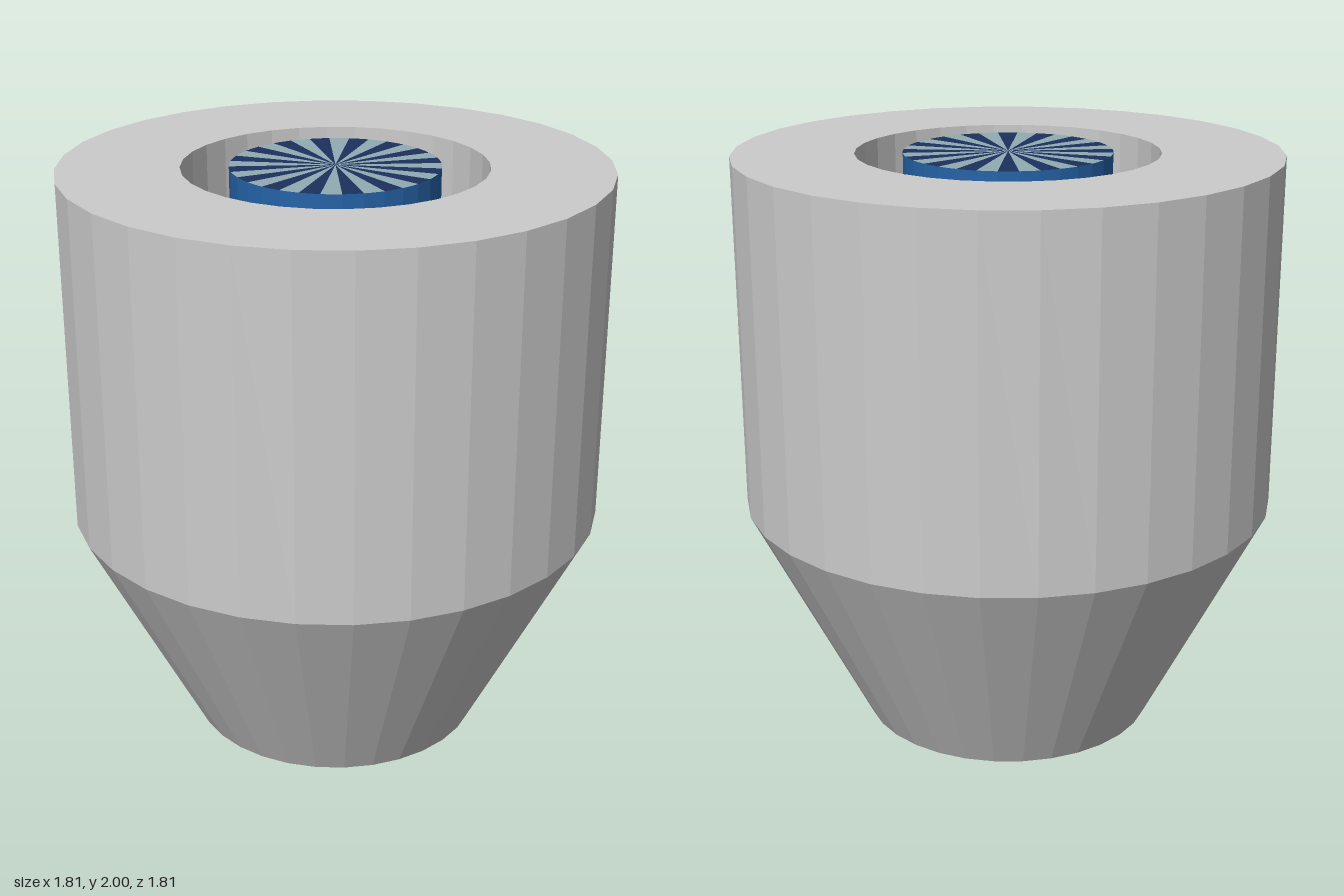
import * as THREE from 'three';
import { mergeGeometries } from 'three/addons/utils/BufferGeometryUtils.js';

const SIDES = 32;
const HEIGHT = 2;
const CORE_RADIUS = 0.345;

const material = (color) => new THREE.MeshStandardMaterial({ color, flatShading: true });

function addMesh(parent, name, geometry, color) {
  const mesh = new THREE.Mesh(geometry, material(color));
  mesh.name = name;
  parent.add(mesh);
}

// Turns a list of [radius, height] pairs around the y axis
function turned(profile) {
  return new THREE.LatheGeometry(profile.map(([r, y]) => new THREE.Vector2(r, y)), SIDES);
}

// Every second wedge of the core's top disc
function wedges(first) {
  const step = (Math.PI * 2) / SIDES;
  const parts = [];
  for (let i = first; i < SIDES; i += 2) {
    parts.push(new THREE.CircleGeometry(CORE_RADIUS, 1, i * step, step));
  }
  return mergeGeometries(parts).rotateX(-Math.PI / 2).translate(0, HEIGHT, 0);
}

export function createModel() {
  const model = new THREE.Group();
  model.name = 'taperedSleeveWithCore';

  // Sleeve: cone below, straight wall above, straight bore through it
  const bore = 0.503, outer = 0.905, base = 0.015;
  addMesh(model, 'sleeve', turned([
    [bore, base], [outer, 0.81], [outer, HEIGHT], [bore, HEIGHT], [bore, base],
  ]), 0xcccccc);

  // Core: rod with a closed bottom and a striped top
  const core = new THREE.Group();
  core.name = 'core';
  addMesh(core, 'coreBody', turned([[0, 0], [CORE_RADIUS, 0], [CORE_RADIUS, HEIGHT]]), 0x2563a8);
  addMesh(core, 'lightStripes', wedges(0), 0x91abb4);
  addMesh(core, 'darkStripes', wedges(1), 0x1c315d);
  model.add(core);

  return model;
}
